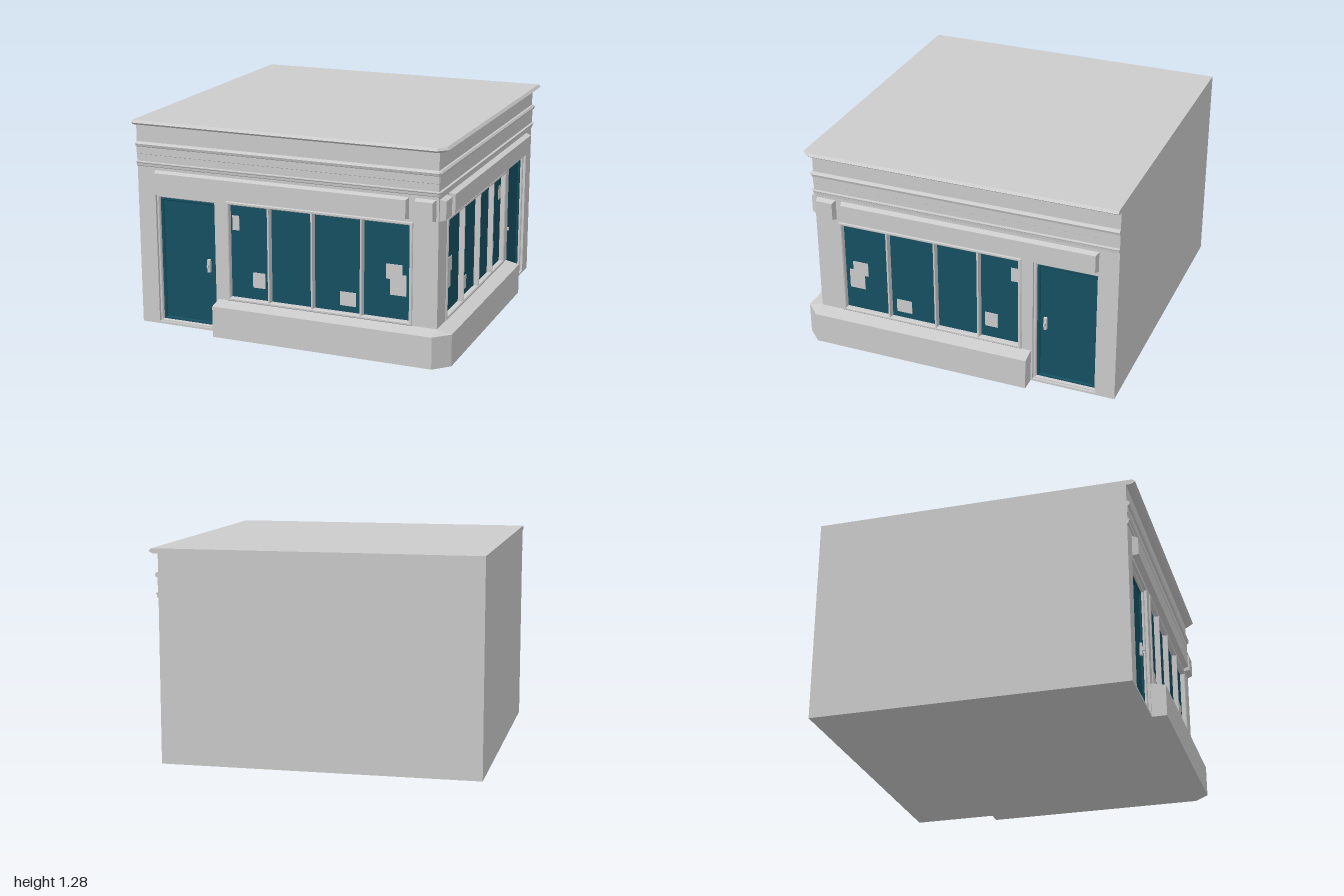
import * as THREE from 'three';

const WALL = 0.91, BACK = 0.86;
const grey = new THREE.MeshStandardMaterial({ color: 0xcccccc });
const teal = new THREE.MeshStandardMaterial({ color: 0x155061 });

// Rectangle outline, usable as a shape or as a hole
function rect(x0, x1, y0, y1, Type = THREE.Shape) {
  const s = new Type();
  s.moveTo(x0, y0); s.lineTo(x1, y0); s.lineTo(x1, y1); s.lineTo(x0, y1); s.closePath();
  return s;
}

// Box from its limits; inset narrows the front face into a bevelled panel
function block(x0, x1, y0, y1, z0, z1, insetX = 0, insetY = insetX) {
  const g = new THREE.BoxGeometry(x1 - x0, y1 - y0, z1 - z0).toNonIndexed();
  const p = g.attributes.position;
  for (let i = 0; i < p.count; i++) {
    if (p.getZ(i) > 0) {
      p.setX(i, p.getX(i) - Math.sign(p.getX(i)) * insetX);
      p.setY(i, p.getY(i) - Math.sign(p.getY(i)) * insetY);
    }
  }
  g.translate((x0 + x1) / 2, (y0 + y1) / 2, (z0 + z1) / 2);
  g.computeVertexNormals();
  return g;
}

// Rectangular picture frame with softened edges
function frame(x0, x1, y0, y1, width, z0, z1, b = 0.005) {
  const s = rect(x0 + b, x1 - b, y0 + b, y1 - b);
  s.holes.push(rect(x0 + width - b, x1 - width + b, y0 + width - b, y1 - width + b, THREE.Path));
  const g = new THREE.ExtrudeGeometry(s, {
    depth: z1 - z0 - b, bevelEnabled: true, bevelSize: b, bevelThickness: b, bevelSegments: 1,
  });
  return g.translate(0, 0, z0);
}

// Stack of convex footprints following a profile of [offset, height], capped at both ends
function loft(footprint, profile) {
  const rings = profile.map(([d, y]) => footprint(d).map(([x, z]) => [x, y, z]));
  const n = rings[0].length, v = [];
  for (let r = 0; r + 1 < rings.length; r++) {
    const a = rings[r], b = rings[r + 1];
    for (let i = 0; i < n; i++) {
      const j = (i + 1) % n;
      v.push(...a[i], ...a[j], ...b[j], ...a[i], ...b[j], ...b[i]);
    }
  }
  const low = rings[0], top = rings[rings.length - 1];
  for (let i = 1; i + 1 < n; i++) {
    v.push(...low[0], ...low[i + 1], ...low[i], ...top[0], ...top[i], ...top[i + 1]);
  }
  const g = new THREE.BufferGeometry();
  g.setAttribute('position', new THREE.Float32BufferAttribute(v, 3));
  g.computeVertexNormals();
  return g;
}

// Swap x and z, reversing the corner order so the faces still point outwards
function mirrored(geometry) {
  const g = geometry.index ? geometry.toNonIndexed() : geometry.clone();
  const p = g.attributes.position, v = [];
  for (let i = 0; i < p.count; i += 3) {
    for (const k of [i, i + 2, i + 1]) v.push(p.getZ(k), p.getY(k), p.getX(k));
  }
  const out = new THREE.BufferGeometry();
  out.setAttribute('position', new THREE.Float32BufferAttribute(v, 3));
  out.computeVertexNormals();
  return out;
}

export function createModel() {
  const model = new THREE.Group();
  model.name = 'cornerShop';
  const front = new THREE.Group(), side = new THREE.Group();
  front.name = 'frontFacade';
  side.name = 'sideFacade';
  model.add(front, side);

  const mesh = (parent, name, geometry, material = grey) => {
    const m = new THREE.Mesh(geometry, material);
    m.name = name;
    parent.add(m);
  };
  // Each street-front part appears on both facades
  const add = (name, geometry, material) => {
    mesh(front, name, geometry, material);
    mesh(side, name, mirrored(geometry), material);
  };

  // Solid core behind the facades
  mesh(model, 'buildingCore', block(-1, BACK, 0, 1, -1, BACK));

  // Entablature, mouldings, cornice and roof, mitred around the corner
  const square = d => [[-1, -1], [-1, d], [WALL, d], [d, WALL], [d, -1]];
  mesh(model, 'entablatureAndRoof', loft(square, [
    [0.91, 0.98], [0.91, 0.99], [0.918, 0.995], [0.92, 1.01], [0.926, 1.015], [0.926, 1.02],
    [0.912, 1.022], [0.912, 1.065], [0.915, 1.067], [0.915, 1.11], [0.925, 1.115],
    [0.93, 1.13], [0.92, 1.14], [0.91, 1.142], [0.91, 1.25], [0.94, 1.25],
    [0.955, 1.257], [0.965, 1.265], [0.95, 1.28],
  ]));

  // Facade wall with a doorway notch and a window opening
  const wall = new THREE.Shape();
  [[-1, 0], [-0.885, 0], [-0.885, 0.82], [-0.485, 0.82], [-0.485, 0], [WALL, 0], [WALL, 0.98], [-1, 0.98]]
    .forEach(([x, y], i) => (i ? wall.lineTo(x, y) : wall.moveTo(x, y)));
  wall.closePath();
  wall.holes.push(rect(-0.405, 0.75, 0.22, 0.82, THREE.Path));
  add('facadeWall', new THREE.ExtrudeGeometry(wall, { depth: WALL - BACK, bevelEnabled: false })
    .translate(0, 0, BACK));

  // Plinth under the window with a sloping top, cut at the building corner
  const plinth = d => [[-0.475, BACK], [-0.475, d], [WALL, d], [(WALL + d) / 2, (WALL + d) / 2], [BACK, BACK]];
  add('plinth', loft(plinth, [[1, 0], [1, 0.193], [0.91, 0.212]]));

  // Shop window: glass, frame, mullions
  add('windowGlass', block(-0.405, 0.75, 0.22, 0.82, BACK, 0.885), teal);
  add('windowFrame', frame(-0.415, 0.76, 0.212, 0.83, 0.02, 0.88, 0.918));
  for (const x of [-0.14, 0.137, 0.445]) {
    add('mullion', block(x - 0.011, x + 0.011, 0.225, 0.825, 0.88, 0.917, 0.006, 0));
  }

  // Notices on the glass
  const notices = [
    [-0.385, -0.34, 0.65, 0.74], [-0.255, -0.175, 0.305, 0.4], [0.305, 0.405, 0.27, 0.355],
    [0.59, 0.69, 0.47, 0.56], [0.615, 0.715, 0.375, 0.5],
  ];
  notices.forEach((n, i) => add('notice', block(...n, 0.88, 0.887 + i * 0.0005)));

  // Door: leaf with raised rim, surround, threshold and handle
  add('doorPanel', block(-0.88, -0.49, 0.015, 0.81, BACK, 0.87), teal);
  add('doorRim', frame(-0.87, -0.5, 0.022, 0.802, 0.02, 0.865, 0.88), teal);
  add('doorFrame', frame(-0.887, -0.483, 0.008, 0.82, 0.018, BACK, 0.895));
  add('threshold', block(-0.885, -0.485, 0, 0.014, BACK, WALL));
  add('handlePlate', block(-0.563, -0.541, 0.36, 0.442, 0.868, 0.885, 0.002));
  add('handleKnob', block(-0.559, -0.545, 0.388, 0.414, 0.88, 0.902, 0.003));

  // Blank sign boards above the openings
  add('longSignBoard', block(-0.883, 0.737, 0.842, 0.976, 0.9, 0.945, 0.013));
  add('shortSignBoard', block(0.768, 0.898, 0.842, 0.976, 0.9, 0.945, 0.013));

  return model;
}
